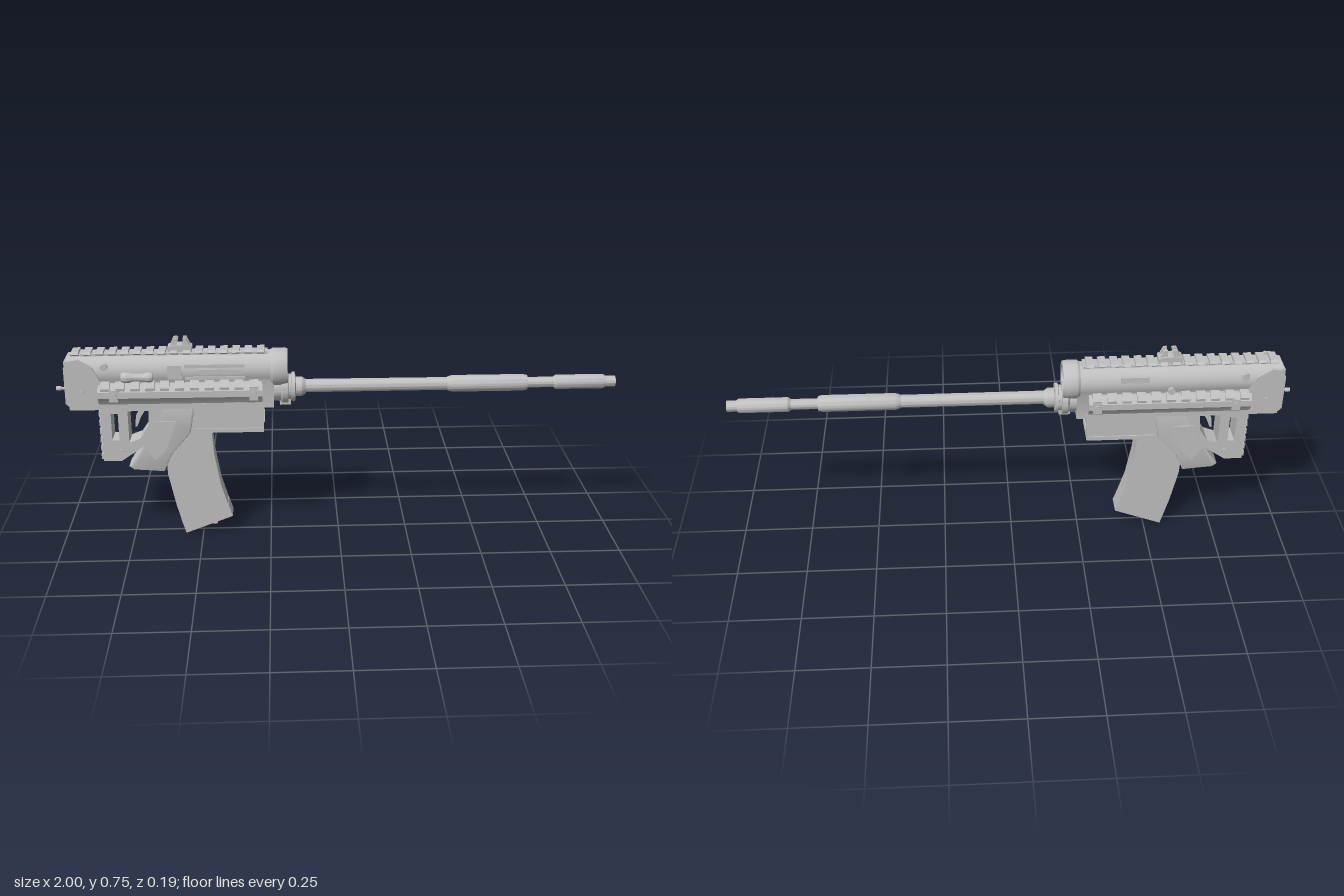
import * as THREE from 'three';
import { toCreasedNormals } from 'three/addons/utils/BufferGeometryUtils.js';

const grey = new THREE.MeshStandardMaterial({ color: 0xc0c0c0 });
grey.name = 'plain grey';

export function createModel() {
  const model = new THREE.Group();

  const add = (name, geo) => {
    const m = new THREE.Mesh(geo, grey);
    m.name = name;
    model.add(m);
    return m;
  };
  const shapeOf = (pts, holes = []) => {
    const s = new THREE.Shape(pts.map(p => new THREE.Vector2(...p)));
    holes.forEach(h => s.holes.push(new THREE.Path(h.map(p => new THREE.Vector2(...p)))));
    return s;
  };
  // box given by its limits
  const box = (name, x0, x1, y0, y1, z0, z1) => {
    const m = add(name, new THREE.BoxGeometry(x1 - x0, y1 - y0, z1 - z0));
    m.position.set((x0 + x1) / 2, (y0 + y1) / 2, (z0 + z1) / 2);
    return m;
  };
  // side outline (x, y) extruded across z
  const slab = (name, pts, z0, z1, holes, bevel = 0) => {
    const g = new THREE.ExtrudeGeometry(shapeOf(pts, holes), {
      depth: z1 - z0 - 2 * bevel, bevelEnabled: bevel > 0, bevelSize: bevel,
      bevelThickness: bevel, bevelOffset: -bevel, bevelSegments: 2,
    });
    g.translate(0, 0, z0 + bevel);
    return add(name, toCreasedNormals(g, 0.5));
  };
  // cross-section (z, y) extruded along x
  const bar = (name, pts, x0, x1) => {
    const g = new THREE.ExtrudeGeometry(shapeOf(pts.map(([z, y]) => [-z, y])), { depth: x1 - x0, bevelEnabled: false });
    g.rotateY(Math.PI / 2).translate(x0, 0, 0);
    return add(name, toCreasedNormals(g, 0.5));
  };
  // profile (radius, x) turned about a lengthwise axis at height y
  const turned = (name, pts, y, z = 0) => {
    const g = new THREE.LatheGeometry(pts.map(p => new THREE.Vector2(...p)), 40);
    g.rotateZ(-Math.PI / 2).translate(0, y, z);
    return add(name, toCreasedNormals(g, 0.5));
  };
  const screw = (name, x, y, z, r, depth) => {
    const m = add(name, new THREE.CylinderGeometry(r, r, depth, 20));
    m.rotation.x = Math.PI / 2;
    m.position.set(x, y, z);
  };

  // receiver: round-topped body with flat lower sides
  const section = [[0.053, 0.5], [0.053, 0.6]];
  for (let i = 0; i <= 24; i++) {
    const a = -0.35 + (Math.PI + 0.7) * i / 24;
    section.push([0.062 * Math.cos(a), 0.635 + 0.062 * Math.sin(a)]);
  }
  section.push([-0.053, 0.6], [-0.053, 0.5]);
  bar('receiver', section, -0.95, -0.23);
  const endPlate = [[-0.96, 0.53], [-0.94, 0.51], [-0.85, 0.51], [-0.83, 0.54], [-0.83, 0.6],
    [-0.86, 0.66], [-0.91, 0.69], [-0.945, 0.685], [-0.96, 0.66]];
  for (const s of [-1, 1]) slab('rearSidePlate', endPlate, s * 0.06 - 0.006, s * 0.06 + 0.006);
  box('rearPlate', -0.96, -0.94, 0.52, 0.68, -0.05, 0.05);
  turned('rearPin', [[0, -1], [0.008, -1], [0.008, -0.985], [0.005, -0.98], [0.005, -0.94]], 0.565);

  // top rail with cross teeth
  box('topRail', -0.94, -0.25, 0.685, 0.699, -0.026, 0.026);
  for (let i = 0; i < 16; i++) {
    const x = -0.935 + i * 0.0432;
    bar('topRailTooth', [[-0.028, 0.694], [0.028, 0.694], [0.036, 0.7], [0.028, 0.708], [-0.028, 0.708], [-0.036, 0.7]], x, x + 0.026);
  }

  // folding sight
  slab('sightBase', [[-0.6, 0.702], [-0.515, 0.702], [-0.515, 0.718], [-0.53, 0.725], [-0.585, 0.725], [-0.6, 0.718]], -0.024, 0.024);
  for (const s of [-1, 1]) {
    slab('sightEar', [[-0.592, 0.72], [-0.57, 0.72], [-0.562, 0.745], [-0.568, 0.75], [-0.58, 0.748]], s * 0.013 - 0.005, s * 0.013 + 0.005);
    slab('sightEar', [[-0.548, 0.72], [-0.52, 0.72], [-0.533, 0.748], [-0.545, 0.75]], s * 0.013 - 0.005, s * 0.013 + 0.005);
  }
  box('sightBlade', -0.545, -0.535, 0.72, 0.742, -0.01, 0.01);

  // side rails, teeth and end screws, mirrored
  for (const s of [-1, 1]) {
    bar('sideRail', [[0.04, 0.525], [0.065, 0.525], [0.076, 0.545], [0.083, 0.552], [0.083, 0.575],
      [0.076, 0.585], [0.064, 0.6], [0.04, 0.6]].map(([z, y]) => [s * z, y]), -0.845, -0.27);
    for (let i = 0; i < 11; i++) {
      const x = -0.835 + i * 0.052;
      bar('sideRailTooth', [[0.055, 0.608], [0.067, 0.606], [0.083, 0.588], [0.08, 0.572], [0.055, 0.58]].map(([z, y]) => [s * z, y]), x, x + 0.032);
    }
    for (const x of [-0.79, -0.3]) {
      box('railClamp', x - 0.015, x + 0.015, 0.54, 0.582, s * 0.08 - 0.006, s * 0.08 + 0.006);
      screw('railScrew', x, 0.563, s * 0.086, 0.011, 0.01);
    }
    screw('bodyPin', -0.82, 0.66, s * 0.058, 0.013, 0.014);
    screw('rearPinHead', -0.9, 0.57, s * 0.067, 0.008, 0.006);
    screw('lowerPin', -0.46, 0.515, s * 0.055, 0.012, 0.01);
  }

  // port, sliding cover and charging knob on the front side
  box('portCover', -0.6, -0.55, 0.615, 0.665, 0.045, 0.067);
  box('portUpperLip', -0.54, -0.33, 0.655, 0.667, 0.045, 0.066);
  box('portLowerLip', -0.54, -0.33, 0.612, 0.622, 0.045, 0.066);
  box('portSlide', -0.49, -0.34, 0.63, 0.648, 0.045, 0.065);
  turned('chargingKnob', [[0, -0.76], [0.015, -0.76], [0.019, -0.75], [0.019, -0.735], [0.014, -0.72],
    [0.014, -0.68], [0.018, -0.67], [0.018, -0.658], [0.014, -0.65], [0, -0.65]], 0.627, 0.075);
  box('knobStem', -0.72, -0.69, 0.618, 0.636, 0.04, 0.07);
  // small plate and button on the other side
  box('backPlate', -0.48, -0.38, 0.65, 0.672, -0.066, -0.045);
  screw('backButton', -0.56, 0.615, -0.064, 0.013, 0.016);

  // upper front collar, hollow, with a post inside
  turned('frontCollar', [[0.05, -0.24], [0.064, -0.24], [0.069, -0.232], [0.069, -0.19], [0.066, -0.18],
    [0.054, -0.18], [0.05, -0.19], [0.05, -0.225], [0, -0.225]], 0.634);
  box('collarPost', -0.23, -0.195, 0.63, 0.683, -0.011, 0.011);
  box('collarBar', -0.23, -0.195, 0.625, 0.638, -0.034, 0.034);

  // barrel nut and stepped barrel with an open bore
  turned('barrelNut', [[0, -0.24], [0.05, -0.24], [0.05, -0.205], [0.058, -0.2], [0.058, -0.18], [0.046, -0.178],
    [0.046, -0.168], [0.053, -0.166], [0.053, -0.155], [0.035, -0.152], [0.035, -0.13], [0.025, -0.115]], 0.56);
  turned('barrel', [[0, -0.2], [0.024, -0.2], [0.023, 0.39], [0.026, 0.395], [0.03, 0.41], [0.03, 0.665],
    [0.027, 0.68], [0.019, 0.68], [0.019, 0.775], [0.026, 0.785], [0.026, 0.955], [0.023, 0.962],
    [0.02, 0.962], [0.02, 1], [0.012, 1], [0.011, 0.93], [0, 0.93]], 0.562);
  box('nutLug', -0.21, -0.17, 0.495, 0.52, -0.013, 0.013);

  // open feed well with bottom lip
  const well = [[-0.515, 0.415], [-0.27, 0.415], [-0.262, 0.52], [-0.515, 0.52]];
  for (const s of [-1, 1]) {
    slab('wellSide', well, s * 0.05 - 0.005, s * 0.05 + 0.005);
    box('wellLip', -0.515, -0.268, 0.41, 0.425, s * 0.053 - 0.007, s * 0.053 + 0.007);
  }
  box('wellFront', -0.28, -0.268, 0.41, 0.51, -0.054, 0.054);
  box('wellRear', -0.515, -0.5, 0.41, 0.51, -0.054, 0.054);
  for (const y of [0.44, 0.455]) box('wellRib', -0.27, -0.264, y, y + 0.005, -0.04, 0.04);

  // curved magazine, hollow at its foot
  const back = [[-0.6, 0.5], [-0.62, 0.44], [-0.625, 0.37], [-0.619, 0.24], [-0.593, 0.115]];
  const front = [[-0.405, 0.115], [-0.43, 0.2], [-0.45, 0.32], [-0.456, 0.41], [-0.458, 0.5]];
  const footBack = [-0.563, 0.005], footFront = [-0.39, 0.07];
  slab('magazine', [...back, [-0.578, 0.055], ...front], -0.032, 0.032);
  for (const s of [-1, 1]) slab('magazineSide', [...back, footBack, footFront, ...front], s * 0.033 - 0.003, s * 0.033 + 0.003);
  slab('magazineFootRear', [[-0.58, 0.06], footBack, [-0.553, 0.009], [-0.568, 0.06]], -0.033, 0.033);
  slab('magazineFootFront', [[-0.405, 0.12], [-0.417, 0.115], [-0.402, 0.066], footFront], -0.033, 0.033);
  for (let i = 0; i < 3; i++) {
    const coil = add('footSpring', new THREE.TorusGeometry(0.021, 0.003, 8, 28));
    coil.scale.x = 2;
    coil.rotation.set(Math.PI / 2, -0.37, 0);
    coil.position.set(-0.482 - i * 0.005, 0.068 - i * 0.012, 0);
  }

  // slanted hand grip
  slab('grip', [[-0.66, 0.51], [-0.67, 0.42], [-0.715, 0.34], [-0.757, 0.275], [-0.74, 0.262], [-0.63, 0.253],
    [-0.6, 0.32], [-0.53, 0.4], [-0.51, 0.51]], -0.041, 0.041, [], 0.008);
  slab('gripPanel', [[-0.66, 0.45], [-0.7, 0.36], [-0.66, 0.3], [-0.62, 0.34], [-0.58, 0.45]], -0.046, 0.046);

  // rear frame with a slot and a trigger opening
  slab('rearFrame', [[-0.845, 0.51], [-0.845, 0.3], [-0.78, 0.3], [-0.7, 0.355], [-0.65, 0.42], [-0.62, 0.51]],
    -0.042, 0.042, [
      [[-0.81, 0.48], [-0.785, 0.48], [-0.785, 0.38], [-0.81, 0.38]],
      [[-0.75, 0.49], [-0.675, 0.49], [-0.68, 0.43], [-0.71, 0.385], [-0.75, 0.37]]]);
  for (let i = 0; i < 6; i++) box('frameRib', -0.853, -0.84, 0.306 + i * 0.032, 0.326 + i * 0.032, -0.036, 0.036);
  for (const s of [-1, 1]) screw('frameScrew', -0.78, 0.335, s * 0.043, 0.01, 0.008);
  slab('trigger', [[-0.7, 0.5], [-0.725, 0.46], [-0.73, 0.42], [-0.722, 0.42], [-0.708, 0.455], [-0.68, 0.5]], -0.01, 0.01);

  return model;
}
